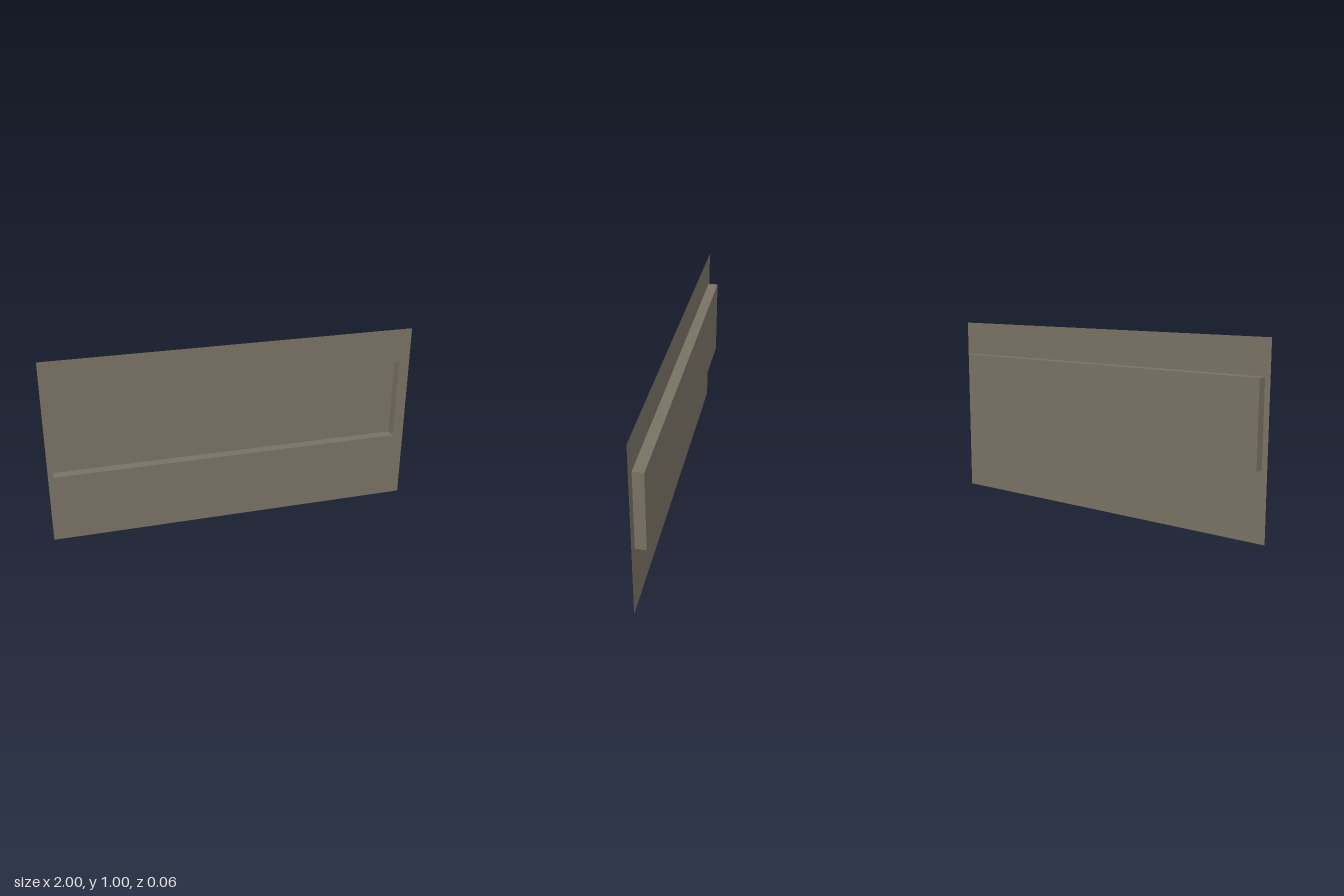
import * as THREE from 'three';

export function createModel() {
  const group = new THREE.Group();
  const panelGrey = new THREE.MeshStandardMaterial({ color: 0x797264, side: THREE.DoubleSide });
  panelGrey.name = 'panelGrey';

  const front = 0.028, back = -0.028, depth = front - back;
  const left = -0.972, right = 0.94, bottom = 0.368, top = 0.815;
  const width = right - left, height = top - bottom;
  const midX = (left + right) / 2, midY = (bottom + top) / 2;

  const add = (name, geometry, x, y, z, rx = 0, ry = 0) => {
    const mesh = new THREE.Mesh(geometry, panelGrey);
    mesh.name = name;
    mesh.position.set(x, y, z);
    mesh.rotation.set(rx, ry, 0);
    group.add(mesh);
  };

  const rectangle = (Type, x0, y0, x1, y1) => new Type([
    new THREE.Vector2(x0, y0), new THREE.Vector2(x1, y0),
    new THREE.Vector2(x1, y1), new THREE.Vector2(x0, y1),
  ]);

  // Thin sheet with the opening of the recess
  const sheet = rectangle(THREE.Shape, -1, 0, 1, 1);
  sheet.holes.push(rectangle(THREE.Path, left, bottom, right, top));
  add('frontSheet', new THREE.ShapeGeometry(sheet), 0, 0, front);

  // Recess pressed backwards out of the sheet
  add('recessBack', new THREE.PlaneGeometry(width, height), midX, midY, back);
  add('recessFloor', new THREE.PlaneGeometry(width, depth), midX, bottom, 0, -Math.PI / 2);
  add('recessCeiling', new THREE.PlaneGeometry(width, depth), midX, top, 0, Math.PI / 2);
  add('recessRightWall', new THREE.PlaneGeometry(depth, height), left, midY, 0, 0, Math.PI / 2);
  add('recessLeftWall', new THREE.PlaneGeometry(depth, height), right, midY, 0, 0, -Math.PI / 2);

  return group;
}
